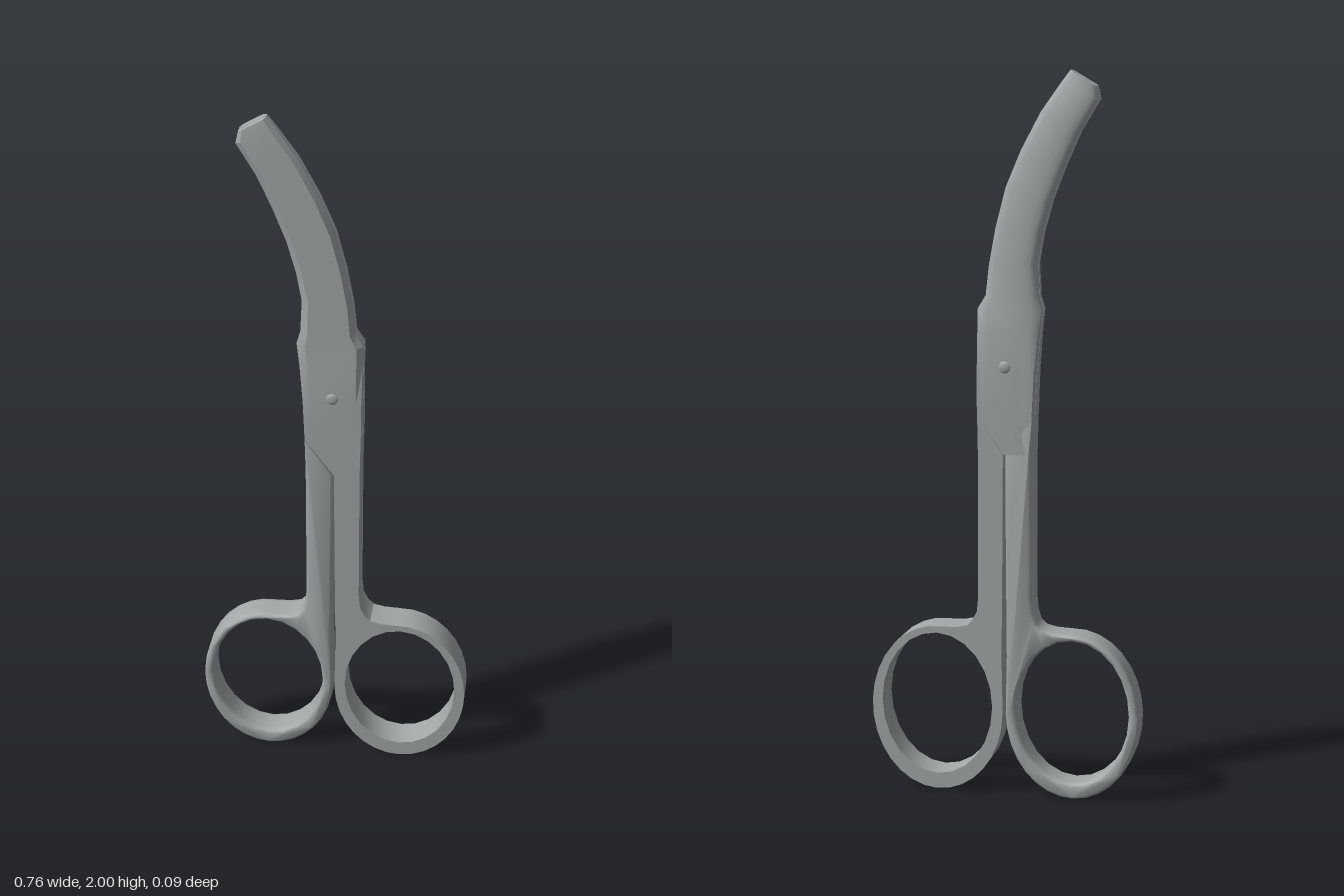
import * as THREE from 'three';
import { toCreasedNormals } from 'three/addons/utils/BufferGeometryUtils.js';

const HALF = 0.0425; // half thickness of the handles

// Blade stations: left x, left y, right x, right y, thickness, left edge and right edge thickness share
const BLADE = [
  [-0.078, 1.08, 0.0745, 1.08, 0.0432, 1, 1],
  [-0.083, 1.2, 0.075, 1.2, 0.0432, 0.92, 0.95],
  [-0.092, 1.3, 0.076, 1.3, 0.04, 0.75, 0.75],
  [-0.1, 1.365, 0.077, 1.365, 0.037, 0.65, 0.55],
  [-0.09, 1.4, 0.056, 1.4, 0.036, 0.6, 0.45],
  [-0.086, 1.49, 0.048, 1.48, 0.034, 0.55, 0.4],
  [-0.1, 1.57, 0.03, 1.58, 0.032, 0.55, 0.4],
  [-0.125, 1.66, 0.002, 1.69, 0.03, 0.55, 0.4],
  [-0.16, 1.75, -0.04, 1.79, 0.028, 0.55, 0.4],
  [-0.2, 1.84, -0.093, 1.89, 0.027, 0.55, 0.4],
  [-0.251, 1.925, -0.148, 1.968, 0.025, 0.55, 0.35],
  [-0.244, 1.958, -0.172, 2.0, 0.021, 0.6, 0.25],
];

// Lofts a blade half; side is +1 in front, -1 behind. The inner face lies near z = 0.
function bladeGeometry(side, rounded) {
  // The lower edge runs diagonally down to the blade's own shank
  const root = side > 0
    ? [0, 0.97, 0.071, 0.97, 0.0432, 1, 1]
    : [-0.074, 0.97, 0, 0.97, 0.0432, 0.9, 1];
  const stations = [root, ...BLADE];
  const positions = [], index = [];
  const tri = (a, b, c) => (side > 0 ? index.push(a, b, c) : index.push(a, c, b));
  let n = 0;
  for (const [lx, ly, rx, ry, t, e0, e1] of stations) {
    const section = rounded
      ? [[0, 0], [0, e0], [0.06, e0 * 0.4 + 0.6], [0.14, 0.97], [0.28, 1], [0.82, 1], [0.94, e1 * 0.5 + 0.48], [1, e1], [1, 0]]
      : [[0, 0], [0, e0], [0.14, 1], [0.91, 1], [1, e1], [1, 0]];
    n = section.length;
    for (const [u, h] of section) {
      const z = Math.max(0.0015, Math.min(h, 1) * t);
      positions.push(lx + (rx - lx) * u, ly + (ry - ly) * u, z * side);
    }
  }
  for (let i = 0; i < stations.length - 1; i++) {
    for (let j = 0; j < n; j++) {
      const k = (j + 1) % n;
      const a = i * n + j, b = i * n + k;
      tri(a, b, b + n);
      tri(a, b + n, a + n);
    }
  }
  const top = (stations.length - 1) * n;
  for (let j = 1; j < n - 1; j++) {
    tri(0, j + 1, j);
    tri(top, top + j, top + j + 1);
  }
  const geo = new THREE.BufferGeometry();
  geo.setAttribute('position', new THREE.Float32BufferAttribute(positions, 3));
  geo.setIndex(index);
  return toCreasedNormals(geo, rounded ? 0.75 : 0.35);
}

// Finger ring and shank in one outline; mirror is +1 for the left, -1 for the right
function handleGeometry(mirror, shankWidth, rounded) {
  const P = (x, y) => new THREE.Vector2(mirror * x, y);
  const ellipse = (cx, cy, rx, ry, from, to, count) => {
    const pts = [];
    for (let i = 0; i <= count; i++) {
      const a = from + (to - from) * i / count;
      pts.push(P(cx + rx * Math.cos(a), cy + ry * Math.sin(a)));
    }
    return pts;
  };
  const w = shankWidth;
  const shape = new THREE.Shape([
    ...ellipse(0.1915, 0.237, 0.1885, 0.237, Math.PI, Math.PI * 2.52, 24),
    P(0.135, 0.475), P(0.105, 0.482), P(0.09, 0.497), P(w + 0.004, 0.525), P(w, 0.57),
    P(w, 0.97), P(w + 0.002, 1.08), P(0.002, 0.97), P(0.003, 0.75), P(0.005, 0.5), P(0.006, 0.4),
  ]);
  // The hole always runs anticlockwise, also when mirrored
  const hole = ellipse(0.192, 0.25, 0.159, 0.205, 0, mirror * Math.PI * 2, 24);
  hole.pop();
  shape.holes.push(new THREE.Path(hole));
  const bevel = rounded ? 0.016 : 0;
  const geo = new THREE.ExtrudeGeometry(shape, {
    depth: 2 * (HALF - bevel),
    bevelEnabled: rounded,
    bevelThickness: bevel,
    bevelSize: 0.008,
    bevelOffset: -0.008,
    bevelSegments: 3,
  });
  geo.translate(0, 0, -(HALF - bevel));
  return toCreasedNormals(geo, rounded ? 1.1 : 0.5);
}

export function createModel() {
  const steel = new THREE.MeshStandardMaterial({ color: 0xa2a7a8 });
  steel.name = 'steel';
  const model = new THREE.Group();
  model.name = 'bentScissors';

  const add = (parent, name, geometry) => {
    const mesh = new THREE.Mesh(geometry, steel);
    mesh.name = name;
    parent.add(mesh);
    return mesh;
  };

  // Front half: flat handle on the left, blade crossing in front
  const front = new THREE.Group();
  front.name = 'frontHalf';
  add(front, 'leftHandle', handleGeometry(1, 0.072, false));
  add(front, 'frontBlade', bladeGeometry(1, false));

  // Back half: rounded handle on the right, blade crossing behind
  const back = new THREE.Group();
  back.name = 'backHalf';
  add(back, 'rightHandle', handleGeometry(-1, 0.078, true));
  add(back, 'backBlade', bladeGeometry(-1, true));

  // Domed rivet head on each side of the pivot
  for (const side of [1, -1]) {
    const head = add(model, side > 0 ? 'frontRivetHead' : 'backRivetHead', new THREE.SphereGeometry(0.017, 16, 12));
    head.position.set(-0.003, 1.21, side * 0.0415);
    head.scale.z = 0.35;
  }

  model.add(front, back);
  return model;
}
